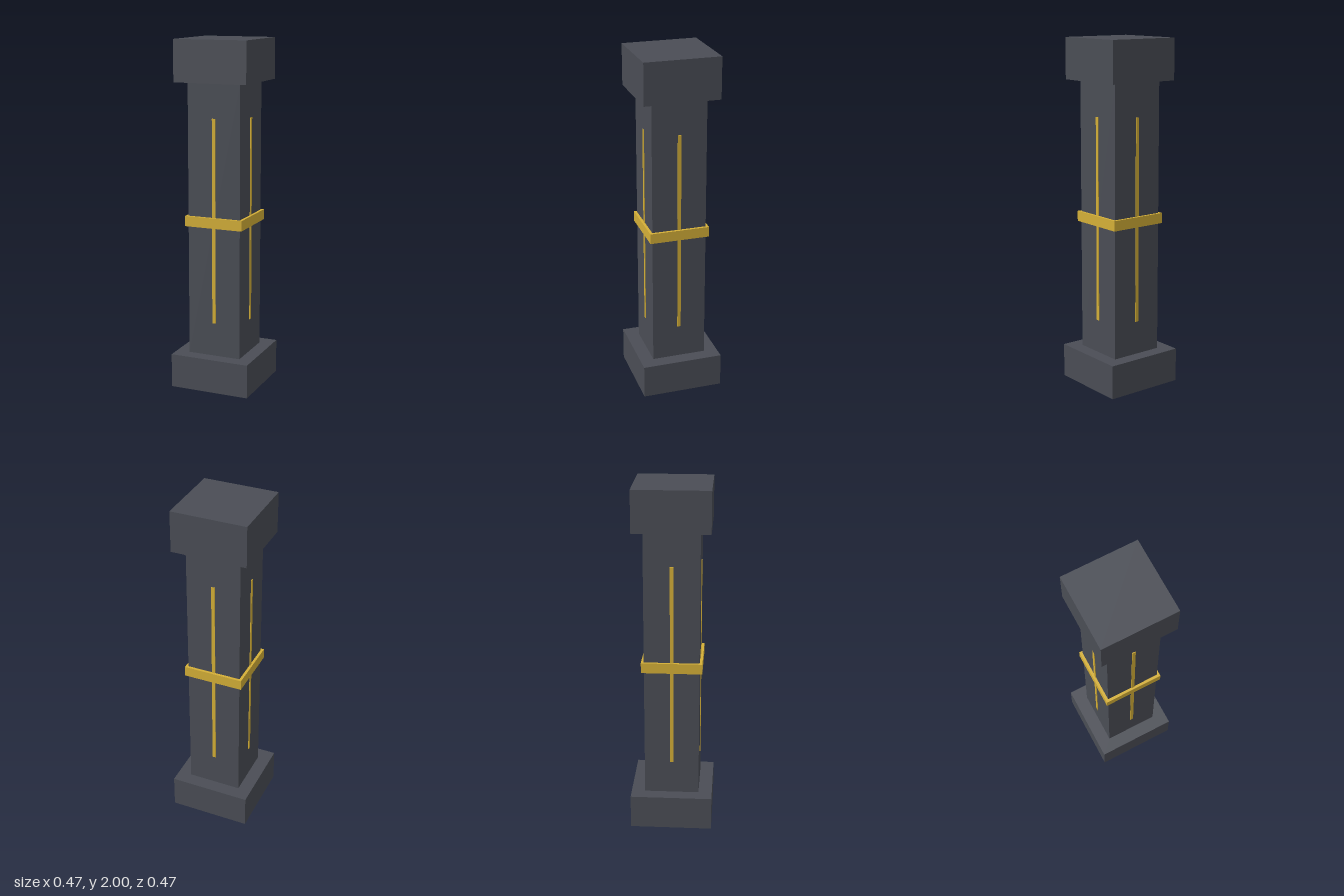
import * as THREE from 'three';

export function createModel() {
  const group = new THREE.Group();
  const stone = new THREE.MeshStandardMaterial({ color: 0x4a4d55 });
  const gold = new THREE.MeshStandardMaterial({ color: 0xd4af37 });

  // Square block from bottom to top, centred on the vertical axis
  function block(name, width, bottom, top, material) {
    const mesh = new THREE.Mesh(new THREE.BoxGeometry(width, top - bottom, width), material);
    mesh.name = name;
    mesh.position.y = (bottom + top) / 2;
    group.add(mesh);
  }

  block('base', 0.471, 0, 0.196, stone);
  block('shaft', 0.314, 0.196, 1.765, stone);
  block('capital', 0.431, 1.765, 2, stone);
  block('band', 0.345, 0.951, 1.01, gold);

  // One thin vertical inlay strip on each face of the shaft
  const stripGeometry = new THREE.BoxGeometry(0.02, 1.177, 0.02);
  stripGeometry.translate(0, 0.98, 0.151);
  ['front', 'left', 'back', 'right'].forEach((side, i) => {
    const strip = new THREE.Mesh(stripGeometry, gold);
    strip.name = side + 'Strip';
    strip.rotation.y = (i * Math.PI) / 2;
    group.add(strip);
  });

  return group;
}
